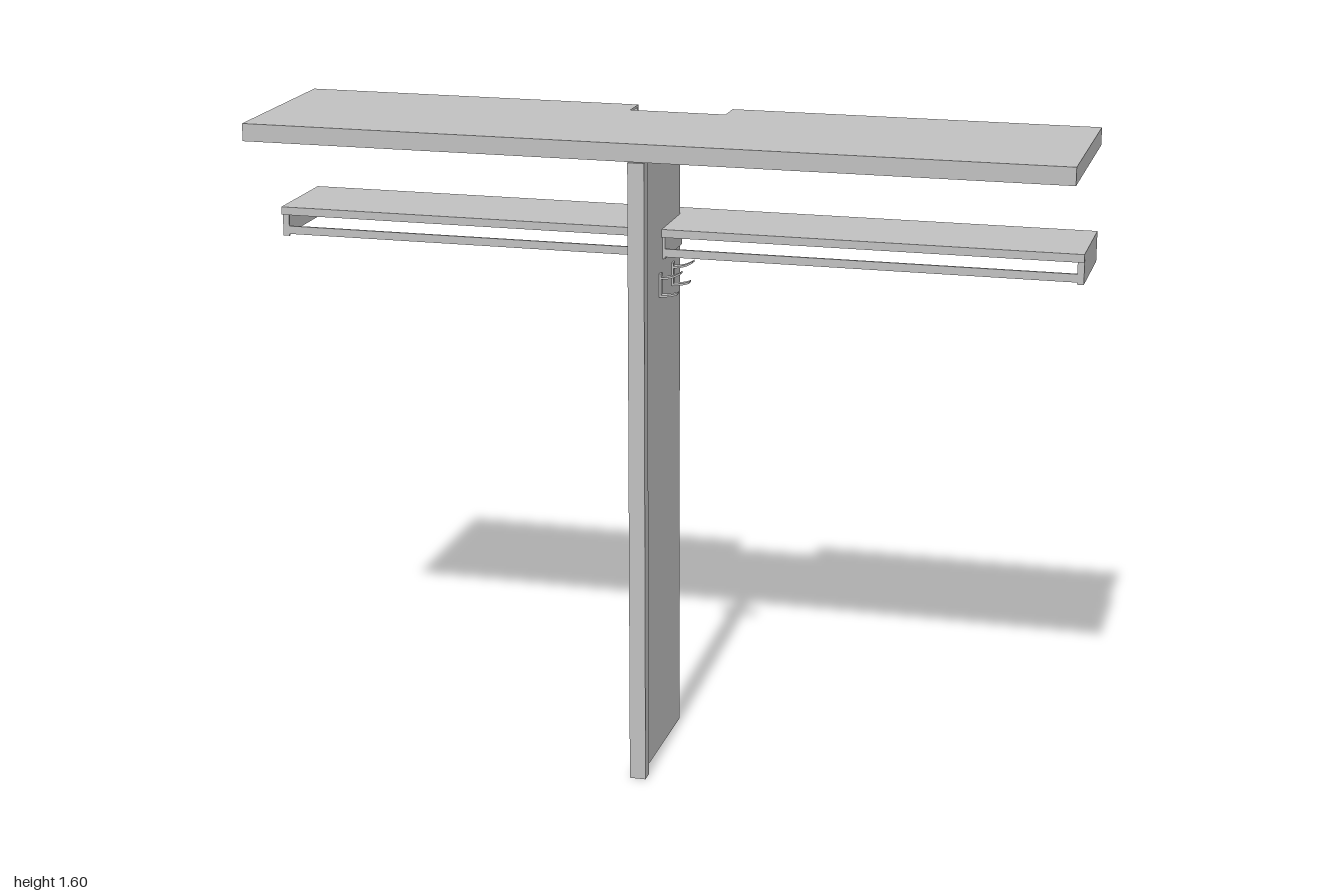
import * as THREE from 'three';

const T = 0.006; // sheet metal thickness
const MID = -0.022; // x of the upright panel

export function createModel() {
  const model = new THREE.Group();
  const steel = new THREE.MeshStandardMaterial({ color: 0xc0c0c0 });
  steel.name = 'grey steel';

  const add = (name, geometry, parent = model) => {
    const mesh = new THREE.Mesh(geometry, steel);
    mesh.name = name;
    parent.add(mesh);
    return mesh;
  };
  // box given by its limits on each axis
  const box = (name, x0, x1, y0, y1, z0, z1, parent) => {
    const mesh = add(name, new THREE.BoxGeometry(x1 - x0, y1 - y0, z1 - z0), parent);
    mesh.position.set((x0 + x1) / 2, (y0 + y1) / 2, (z0 + z1) / 2);
    return mesh;
  };

  // upright: thin panel with a thicker front post
  box('uprightPanel', MID - T / 2, MID + T / 2, 0, 1.59, -0.163, 0.21);
  box('frontPost', -0.042, -0.002, 0, 1.55, 0.205, 0.2375);

  // top tray: notched plate with skirts folded down
  const B = -0.2375, F = 0.2375, NL = -0.145, NR = 0.095, NZ = -0.165;
  const top = new THREE.Group();
  top.name = 'topTray';
  model.add(top);
  const outline = new THREE.Shape(
    [[-1, -F], [1, -F], [1, -B], [NR, -B], [NR, -NZ], [NL, -NZ], [NL, -B], [-1, -B]]
      .map(([x, y]) => new THREE.Vector2(x, y)));
  const plate = add('topPlate', new THREE.ExtrudeGeometry(outline, { depth: T, bevelEnabled: false }), top);
  plate.rotation.x = -Math.PI / 2;
  plate.position.y = 1.595 - T;
  const y0 = 1.552, y1 = 1.595 - T;
  box('frontSkirt', -1, 1, y0, y1, F - T, F, top);
  box('backSkirtRight', -1, NL, y0, y1, B, B + T, top);
  box('backSkirtLeft', NR, 1, y0, y1, B, B + T, top);
  for (const s of [-1, 1]) {
    const x = s * (1 - T / 2);
    box('endSkirt', x - T / 2, x + T / 2, y0, y1, B + T, F - T, top);
  }

  // two lower shelves meeting at the upright
  for (const s of [-1, 1]) {
    const shelf = new THREE.Group();
    shelf.name = s > 0 ? 'leftShelf' : 'rightShelf';
    model.add(shelf);
    const span = (name, a, b, ...rest) => box(name, Math.min(a, b), Math.max(a, b), ...rest, shelf);
    const notch = s > 0 ? NR : NL;
    span('shelfPlate', MID, s, 1.336, 1.342, B, 0.012);
    span('frontLip', MID, s, 1.322, 1.336, 0.012 - T, 0.012);
    span('backSkirt', notch, s, 1.293, 1.336, B, B + T);
    span('outerEnd', s - s * T, s, 1.267, 1.336, B, 0.004);
    span('outerEndFrontTab', s - s * 0.016, s, 1.267, 1.322, -0.002, 0.004);
    span('outerEndBackTab', s - s * 0.016, s, 1.267, 1.293, B, B + T);
    span('innerEnd', MID + s * T / 2, MID + s * (T * 1.5), 1.267, 1.336, -0.163, 0.004);
    // front rail with a folded foot
    span('frontRail', MID, s, 1.272, 1.292, -0.002, 0.004);
    span('railFoot', MID, s, 1.272, 1.276, -0.014, -0.002);
  }

  // coat hooks: a small plate and two curved prongs on each face of the panel
  const prong = (reach, rise) => {
    const shape = new THREE.Shape();
    shape.moveTo(0, 0);
    shape.quadraticCurveTo(reach * 0.6, 0, reach, rise);
    shape.lineTo(reach, rise + 0.005);
    shape.quadraticCurveTo(reach * 0.6, 0.005, 0, 0.005);
    const g = new THREE.ExtrudeGeometry(shape, { depth: 0.018, bevelEnabled: false, curveSegments: 6 });
    return g.translate(0, 0, -0.009);
  };
  for (const z of [0.03, -0.088]) {
    for (const s of [-1, 1]) {
      const hook = new THREE.Group();
      hook.name = 'coatHook';
      hook.position.set(MID + s * T / 2, 0, z);
      hook.rotation.y = s > 0 ? 0 : Math.PI;
      box('hookPlate', 0, 0.005, 1.18, 1.238, -0.009, 0.009, hook);
      add('upperProng', prong(0.054, 0.016), hook).position.y = 1.224;
      add('lowerProng', prong(0.045, 0.008), hook).position.y = 1.18;
      model.add(hook);
    }
  }
  return model;
}
